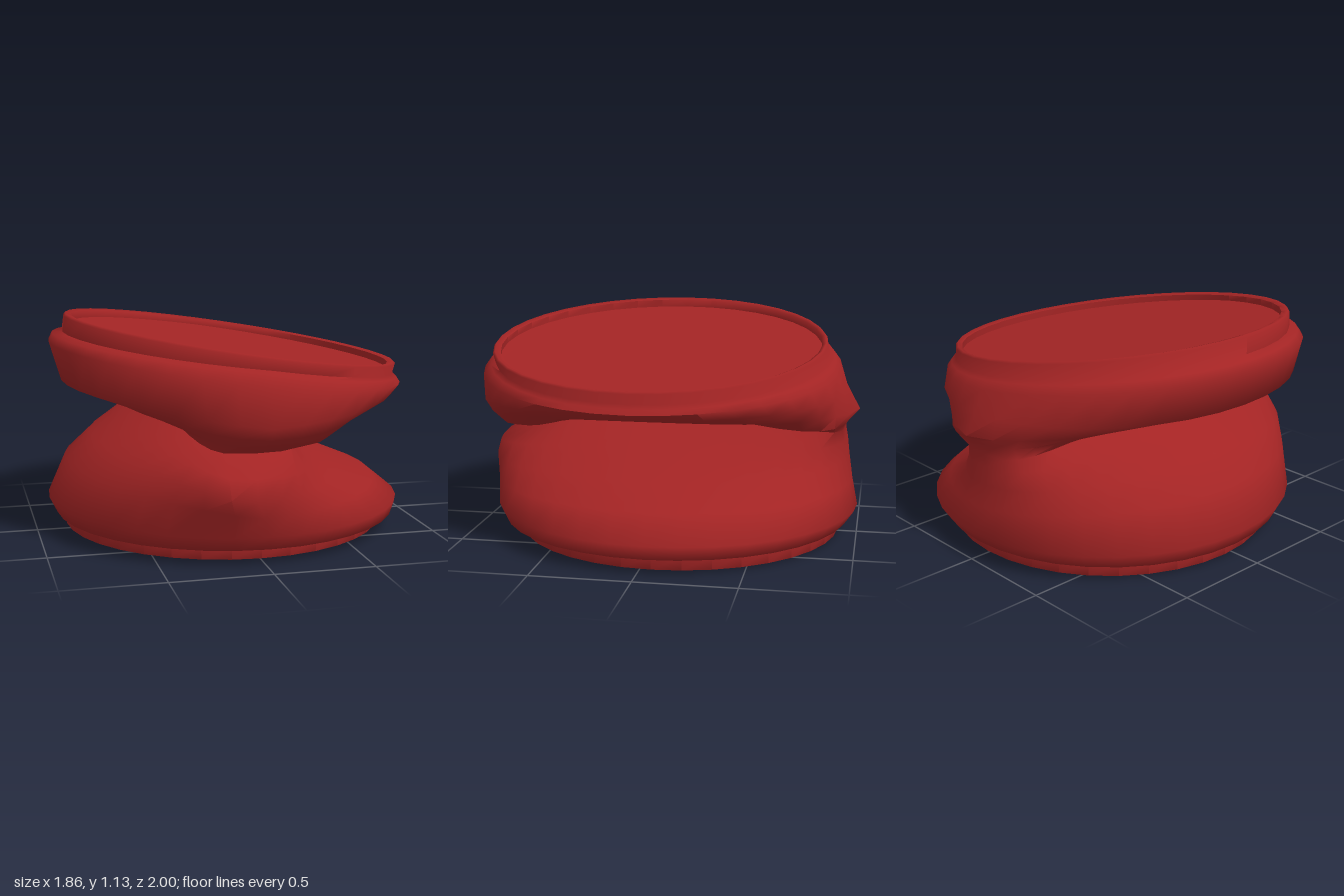
import * as THREE from 'three';
import { toCreasedNormals } from 'three/addons/utils/BufferGeometryUtils.js';

const SIDES = 36;

// One cross-section: x and z extents, heights at its four compass points,
// roundness (1 = ellipse, less = boxier), inward dent on the +x side,
// and pinched corners at the front and back.
const ring = (x, z, y, round = 1, dent = 0, frontTip = 0, backTip = 0) =>
  ({ x, z, y, round, dent, frontTip, backTip });
const flat = (x, z, y) => ring(x, z, [y, y, y, y]);

function ringPoint(r, angle) {
  const c = Math.cos(angle), s = Math.sin(angle);
  const [xL, xR] = r.x, [zB, zF] = r.z, [yL, yR, yB, yF] = r.y;
  const cx = (xL + xR) / 2, cz = (zB + zF) / 2;
  let x = cx + Math.sign(c) * Math.pow(Math.abs(c), r.round) * (xR - xL) / 2;
  let z = cz + s * (zF - zB) / 2;
  const mid = (yF + yB) / 2 + s * (yF - yB) / 2;
  let y = mid + Math.pow(Math.abs(c), 1 / r.round) * ((c > 0 ? yR : yL) - mid);
  if (c > 0) {
    x -= r.dent * c ** 4;
    y += 0.4 * r.dent * c ** 4;
  }
  const tip = (at) => Math.exp(-(((c - at) / 0.22) ** 2));
  z += s > 0 ? r.frontTip * tip(-0.18) : -r.backTip * tip(0);
  return [x, y, z];
}

// Skin a stack of cross-sections from bottom to top
function loft(rings) {
  const pos = [], index = [];
  for (const r of rings) {
    for (let i = 0; i < SIDES; i++) pos.push(...ringPoint(r, (i / SIDES) * Math.PI * 2));
  }
  for (let j = 0; j < rings.length - 1; j++) {
    for (let i = 0; i < SIDES; i++) {
      const n = (i + 1) % SIDES;
      const a = j * SIDES + i, b = j * SIDES + n;
      index.push(a, a + SIDES, b, b, a + SIDES, b + SIDES);
    }
  }
  return finish(pos, index);
}

// Fill a cross-section with an upward-facing disc
function cap(r) {
  const pos = [(r.x[0] + r.x[1]) / 2, r.y.reduce((a, b) => a + b) / 4, (r.z[0] + r.z[1]) / 2];
  const index = [];
  for (let i = 0; i < SIDES; i++) {
    pos.push(...ringPoint(r, (i / SIDES) * Math.PI * 2));
    index.push(0, 1 + ((i + 1) % SIDES), 1 + i);
  }
  return finish(pos, index);
}

function finish(pos, index) {
  const g = new THREE.BufferGeometry();
  g.setAttribute('position', new THREE.Float32BufferAttribute(pos, 3));
  g.setIndex(index);
  return toCreasedNormals(g, 1.25);
}

export function createModel() {
  const group = new THREE.Group();
  group.name = 'crushedCan';
  const red = new THREE.MeshStandardMaterial({ color: 0xa32424, side: THREE.DoubleSide });
  const add = (name, geometry) => {
    const mesh = new THREE.Mesh(geometry, red);
    mesh.name = name;
    group.add(mesh);
  };

  // Foot ring and slightly domed base
  const foot = flat([-0.84, 0.84], [-0.9, 0.78], 0.07);
  add('base', loft([
    flat([0, 0], [-0.06, -0.06], 0.07),
    flat([-0.4, 0.4], [-0.46, 0.34], 0.06),
    flat([-0.8, 0.8], [-0.86, 0.74], 0.025),
    flat([-0.81, 0.81], [-0.87, 0.75], 0),
    flat([-0.84, 0.84], [-0.9, 0.78], 0.01),
    foot,
  ]));

  // Buckled wall, folded in from both sides, rising to the rolled lip around the tilted lid;
  // heights run left, right, back, front (-x, +x, -z, +z)
  const lidEdge = ring([-0.8, 0.84], [-0.8, 0.88], [1.08, 0.83, 0.96, 0.96]);
  add('crushedBody', loft([
    foot,
    flat([-0.89, 0.91], [-0.95, 0.87], 0.08),
    ring([-0.93, 0.93], [-1, 0.91], [0.16, 0.15, 0.15, 0.15]),
    ring([-0.84, 0.78], [-0.97, 0.93], [0.37, 0.27, 0.29, 0.25], 1, 0, 0.02),
    ring([-0.7, 0.55], [-0.95, 0.95], [0.49, 0.36, 0.41, 0.34], 0.9, 0, 0.065),
    ring([-0.52, 0.38], [-0.94, 0.93], [0.6, 0.46, 0.5, 0.44], 0.7, 0.05, 0.03),
    ring([-0.38, 0.29], [-0.93, 0.79], [0.67, 0.56, 0.56, 0.53], 0.5, 0.28),
    ring([-0.47, 0.52], [-0.94, 0.87], [0.68, 0.575, 0.61, 0.57], 0.65, 0.22),
    ring([-0.68, 0.67], [-0.94, 0.95], [0.74, 0.67, 0.66, 0.62], 0.85, 0.03, 0, 0.06),
    ring([-0.86, 0.86], [-0.94, 0.98], [0.79, 0.735, 0.76, 0.68]),
    ring([-0.92, 0.905], [-0.9, 0.98], [0.99, 0.765, 0.87, 0.87]),
    ring([-0.9, 0.89], [-0.87, 0.94], [1.03, 0.79, 0.91, 0.93]),
    ring([-0.85, 0.87], [-0.84, 0.91], [1.04, 0.81, 0.92, 0.94]),
    ring([-0.84, 0.88], [-0.83, 0.92], [1.12, 0.86, 0.99, 0.99]),
    ring([-0.83, 0.87], [-0.82, 0.91], [1.13, 0.87, 1, 1]),
    ring([-0.8, 0.84], [-0.8, 0.88], [1.12, 0.865, 0.99, 0.99]),
    lidEdge,
  ]));
  add('lid', cap(lidEdge));

  return group;
}
